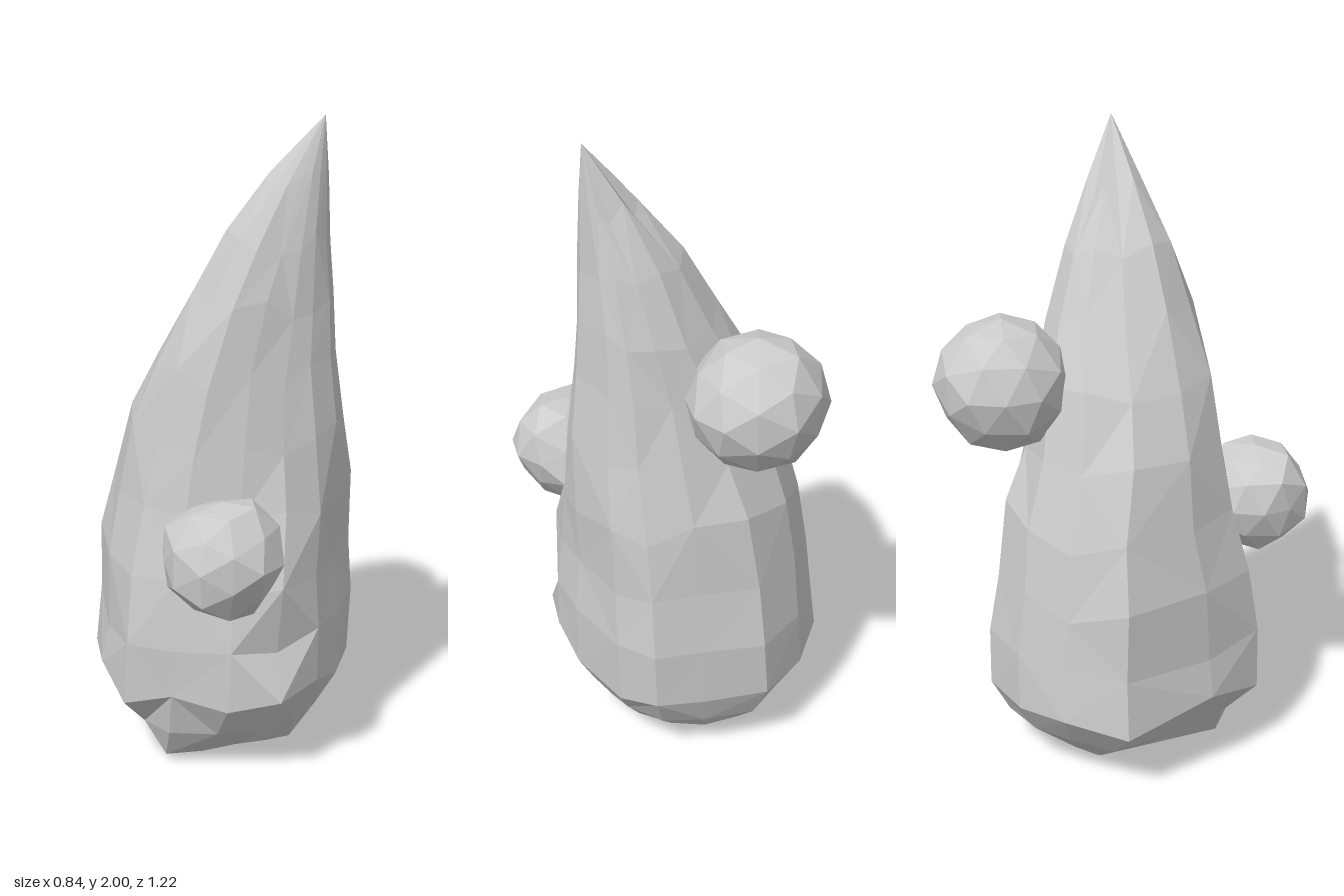
import * as THREE from 'three';

const material = new THREE.MeshStandardMaterial({
  color: 0xcccccc, flatShading: true, roughness: 0.9,
});

// Repeatable noise in -1..1
const noise = (a, b, c = 0) => {
  const s = Math.sin(a * 127.1 + b * 311.7 + c * 74.7) * 43758.5453;
  return (s - Math.floor(s)) * 2 - 1;
};
const { lerp, smoothstep } = THREE.MathUtils;

// Outlines as [x, z]: the small foot, the widest section, the rounder upper body
const foot = [
  [-0.16, -0.14], [-0.12, 0], [-0.08, 0.14], [-0.04, 0.27], [0.06, 0.21],
  [0.14, 0.13], [0.22, 0.07], [0.28, 0.01], [0.25, -0.12], [0.2, -0.24],
  [0.12, -0.32], [0.01, -0.34], [-0.08, -0.26], [-0.13, -0.2],
];
const wide = [
  [-0.425, -0.06], [-0.275, 0.22], [-0.13, 0.39], [0.02, 0.375], [0.2, 0.36],
  [0.35, 0.3], [0.41, 0.13], [0.42, -0.03], [0.4, -0.26], [0.32, -0.36],
  [0.17, -0.41], [-0.02, -0.46], [-0.2, -0.385], [-0.335, -0.25],
];
const upper = [
  [-0.425, -0.04], [-0.34, 0.2], [-0.17, 0.36], [-0.02, 0.39], [0.15, 0.29],
  [0.28, 0.2], [0.37, 0.1], [0.42, -0.03], [0.38, -0.26], [0.3, -0.35],
  [0.15, -0.42], [-0.03, -0.46], [-0.24, -0.4], [-0.37, -0.25],
];
const blend = (a, b, t) => a.map(([x, z], i) => [lerp(x, b[i][0], t), lerp(z, b[i][1], t)]);

// Extents at each height: [y, xMin, xMax, zMin, zMax]
const sections = [
  [0.26, -0.43, 0.42, -0.465, 0.395],
  [0.43, -0.41, 0.425, -0.465, 0.39],
  [0.62, -0.395, 0.415, -0.43, 0.36],
  [0.83, -0.345, 0.425, -0.405, 0.315],
  [1.04, -0.27, 0.415, -0.34, 0.295],
  [1.24, -0.18, 0.39, -0.3, 0.26],
  [1.44, -0.055, 0.38, -0.26, 0.205],
  [1.63, 0.05, 0.37, -0.195, 0.145],
  [1.81, 0.185, 0.365, -0.11, 0.06],
];

// Leaning, chipped spire lofted from the foot up to a sharp tip
function spireGeometry() {
  const n = wide.length, index = [];
  const rings = [
    foot.map(([x, z]) => [x, 0.02 + Math.max(0, -z - 0.12) * 0.2, z]),
    blend(foot, wide, 0.56).map(([x, z], i) => [x, 0.13 + 0.015 * noise(1, i), z]),
  ];
  sections.forEach(([y, x0, x1, z0, z1], r) => {
    const outline = blend(wide, upper, smoothstep(y, 0.5, 1.15));
    rings.push(outline.map(([x, z], i) => {
      const inset = 1 - 0.03 * Math.abs(noise(r, i, 3));
      const u = ((x + 0.425) / 0.845 - 0.5) * inset + 0.5;
      const v = ((z + 0.46) / 0.85 - 0.5) * inset + 0.5;
      return [lerp(x0, x1, u), y + 0.035 * noise(r, i), lerp(z0, z1, v)];
    }));
  });
  // Chipped notch above the ledge on the front corner
  rings[3][5][0] -= 0.03;
  rings[3][5][2] -= 0.04;

  const points = rings.flat(2);
  const base = points.length / 3, tip = base + 1;
  points.push(-0.13, 0, -0.12, 0.355, 2, -0.03);
  const last = (rings.length - 1) * n;
  for (let i = 0; i < n; i++) {
    const j = (i + 1) % n;
    index.push(base, j, i, last + i, last + j, tip);
    for (let r = 0; r < rings.length - 1; r++) {
      const a = r * n + i, b = r * n + j, c = a + n, d = b + n;
      if ((r + i) % 2) index.push(a, b, d, a, d, c);
      else index.push(a, b, c, b, d, c);
    }
  }
  const g = new THREE.BufferGeometry();
  g.setAttribute('position', new THREE.Float32BufferAttribute(points, 3));
  g.setIndex(index);
  g.computeVertexNormals();
  return g;
}

// Faceted round lump with some corners knocked inward
function lumpGeometry(radius, roughness, seed) {
  const g = new THREE.IcosahedronGeometry(radius, 1);
  const p = g.attributes.position, v = new THREE.Vector3();
  for (let i = 0; i < p.count; i++) {
    v.fromBufferAttribute(p, i);
    const k = [v.x, v.y, v.z].map((c) => Math.round((c / radius) * 100));
    v.multiplyScalar(1 - roughness * Math.abs(noise(k[0] + seed, k[1], k[2])));
    p.setXYZ(i, v.x, v.y, v.z);
  }
  g.computeVertexNormals();
  return g;
}

export function createModel() {
  const model = new THREE.Group();
  model.name = 'rockSpire';
  const add = (name, geometry, position = [0, 0, 0]) => {
    const mesh = new THREE.Mesh(geometry, material);
    mesh.name = name;
    mesh.position.set(...position);
    model.add(mesh);
  };
  add('spire', spireGeometry());
  add('frontLump', lumpGeometry(0.196, 0.14, 5), [0.2, 0.765, 0.425]);
  add('backLump', lumpGeometry(0.216, 0.06, 9), [-0.005, 1.265, -0.4]);
  return model;
}
